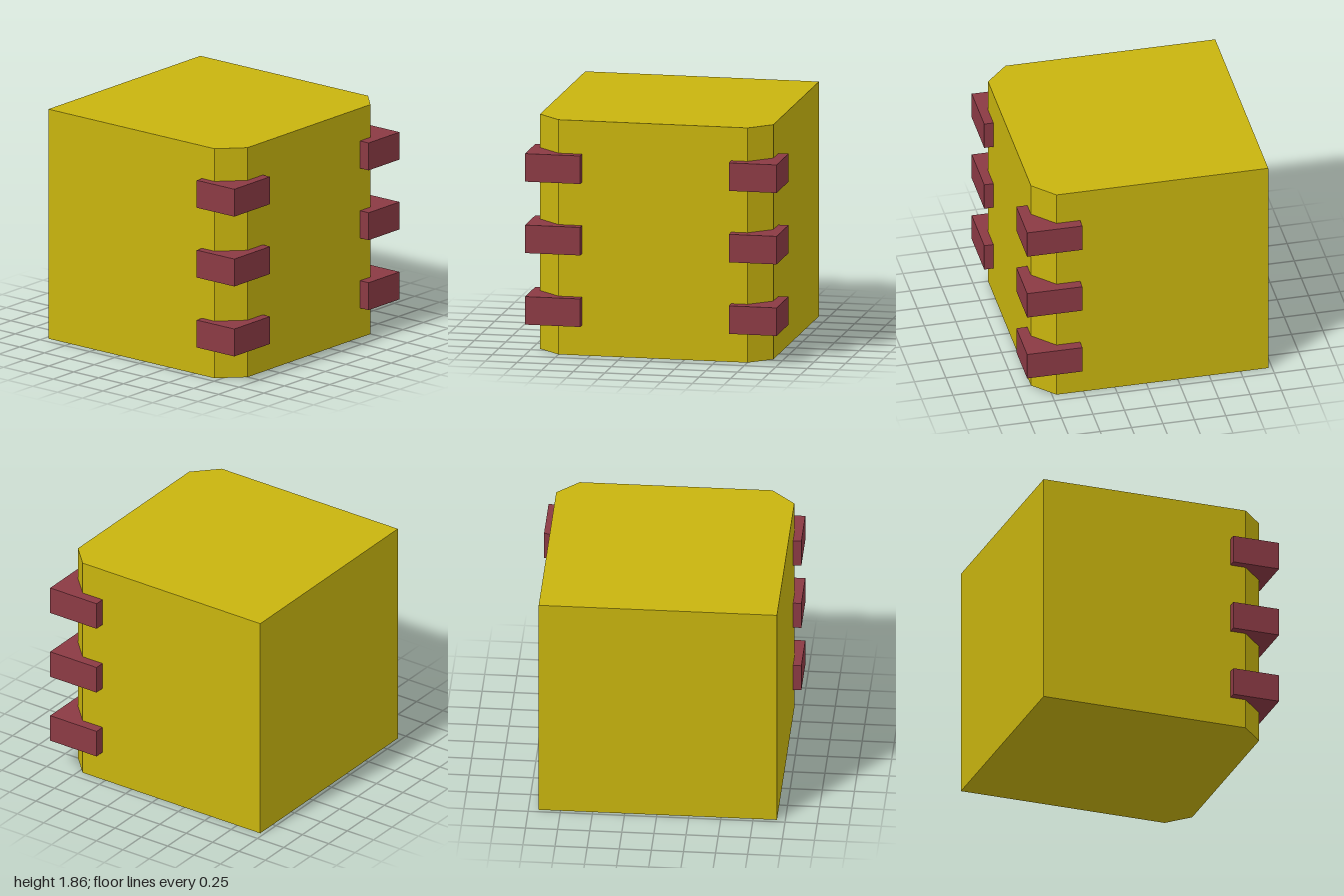
import * as THREE from 'three';

const yellow = new THREE.MeshStandardMaterial({ color: 0xc8b40e, flatShading: true });
const red = new THREE.MeshStandardMaterial({ color: 0x8b3a44, flatShading: true });

// Upright prism from a plan outline given as [x, z] corners.
function prism(name, outline, y, height, material) {
  const shape = new THREE.Shape(outline.map(([x, z]) => new THREE.Vector2(x, -z)));
  const geometry = new THREE.ExtrudeGeometry(shape, { depth: height, bevelEnabled: false });
  geometry.rotateX(-Math.PI / 2);
  const mesh = new THREE.Mesh(geometry, material);
  mesh.name = name;
  mesh.position.y = y;
  return mesh;
}

export function createModel() {
  const model = new THREE.Group();
  model.name = 'blockWithCornerBrackets';

  // Block with the two left-hand upright corners chamfered
  model.add(prism('body', [
    [-0.97, 0.935], [0.70, 0.935], [0.88, 0.75],
    [0.88, -0.75], [0.715, -0.92], [-0.97, -0.92],
  ], 0, 1.86, yellow));

  // Brackets wrap each chamfered corner and seat slightly into the block
  const frontBracket = [
    [0.575, 1], [0.953, 1], [0.953, 0.563], [0.875, 0.563],
    [0.875, 0.748], [0.698, 0.93], [0.575, 0.93],
  ];
  const backBracket = [
    [0.527, -1], [0.967, -1], [0.967, -0.622], [0.875, -0.622],
    [0.875, -0.748], [0.713, -0.915], [0.527, -0.915],
  ];
  for (const y of [0.24, 0.807, 1.373]) {
    model.add(prism('frontBracket', frontBracket, y, 0.222, red));
    model.add(prism('backBracket', backBracket, y, 0.222, red));
  }
  return model;
}
